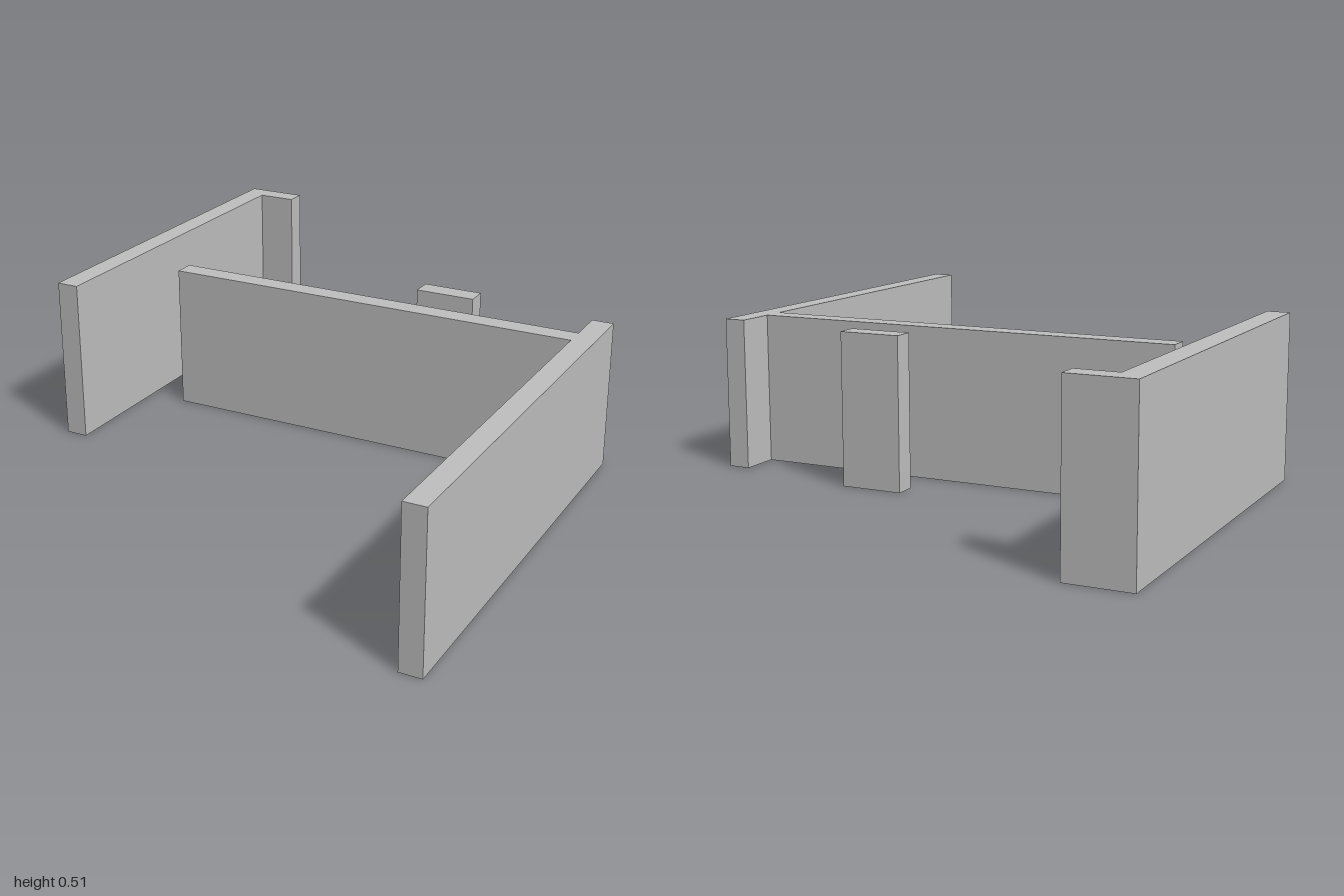
import * as THREE from 'three';

const TALL = 0.51, LOW = 0.465;

// Extrudes a floor-plan outline of [x, z] points upward from the ground
function wall(name, plan, height, material) {
  const shape = new THREE.Shape(plan.map(([x, z]) => new THREE.Vector2(x, -z)));
  const geometry = new THREE.ExtrudeGeometry(shape, { depth: height, bevelEnabled: false });
  geometry.rotateX(-Math.PI / 2);
  const mesh = new THREE.Mesh(geometry, material);
  mesh.name = name;
  return mesh;
}

export function createModel() {
  const group = new THREE.Group();
  group.name = 'wallLayout';
  const plaster = new THREE.MeshStandardMaterial({ color: 0xc0c0c0 });
  plaster.name = 'light grey plaster';

  // Taller L-shaped wall with a short return at the back
  group.add(wall('cornerWall', [
    [-0.81, 0.225], [-0.74, 0.225], [-0.74, -0.935],
    [-0.615, -0.935], [-0.615, -1], [-0.81, -1],
  ], TALL, plaster));

  // Long side wall joined to the cross partition
  group.add(wall('sideWallAndPartition', [
    [0.738, 1], [0.805, 1], [0.805, -0.355], [0.738, -0.355],
    [0.738, -0.23], [-0.615, -0.23], [-0.615, -0.163], [0.738, -0.163],
  ], LOW, plaster));

  // Free-standing pier behind the partition
  group.add(wall('pier', [
    [0.157, -0.357], [0.348, -0.357], [0.348, -0.423], [0.157, -0.423],
  ], LOW, plaster));

  return group;
}
